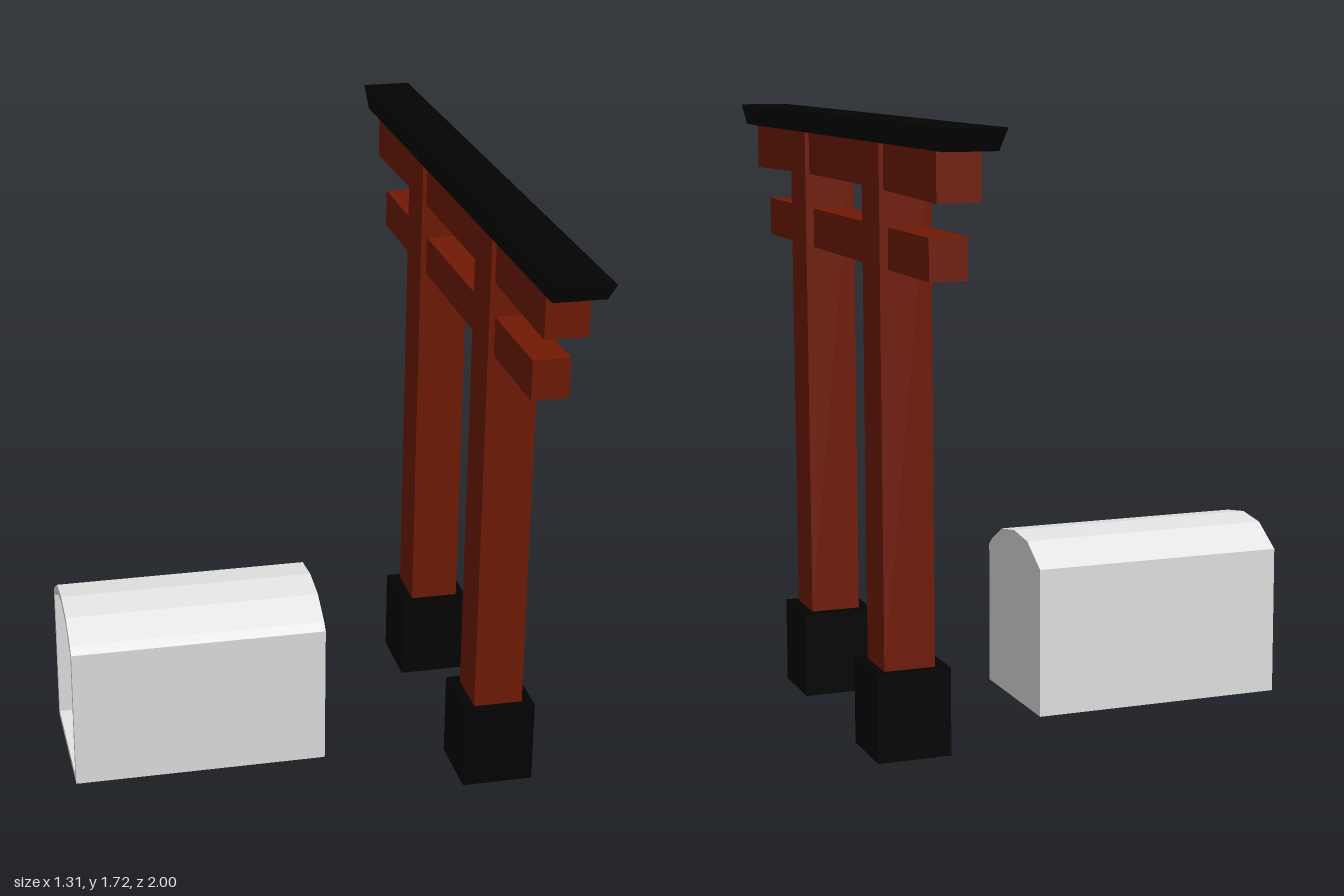
import * as THREE from 'three';

const material = (name, color) => {
  const m = new THREE.MeshStandardMaterial({ color });
  m.name = name;
  return m;
};

export function createModel() {
  const red = material('vermilion wood', 0x721a04);
  const black = material('black lacquer', 0x030303);
  const grey = material('pale grey', 0xe4e4e4);

  const model = new THREE.Group();
  model.name = 'shrineGate';

  const add = (name, geometry, mat, parent) => {
    const mesh = new THREE.Mesh(geometry, mat);
    mesh.name = name;
    parent.add(mesh);
    return mesh;
  };

  // Box given by its limits on each axis
  const box = (name, [x0, x1], [y0, y1], [z0, z1], mat, parent) =>
    add(name, new THREE.BoxGeometry(x1 - x0, y1 - y0, z1 - z0), mat, parent)
      .position.set((x0 + x1) / 2, (y0 + y1) / 2, (z0 + z1) / 2);

  // Outline in (z, y) swept along x from x0 to x1; shape x becomes -z
  const toVectors = (points) => points.map(([z, y]) => new THREE.Vector2(-z, y));
  const sweep = (name, points, [x0, x1], mat, parent, hole) => {
    const shape = new THREE.Shape(toVectors(points));
    // The hole runs the opposite way round so its walls face inwards
    if (hole) shape.holes.push(new THREE.Path(toVectors(hole).reverse()));
    const g = new THREE.ExtrudeGeometry(shape, { depth: x1 - x0, bevelEnabled: false });
    g.rotateY(Math.PI / 2).translate(x0, 0, 0);
    return add(name, g, mat, parent);
  };

  // Gate: two posts on black footings
  const gate = new THREE.Group();
  gate.name = 'gate';
  model.add(gate);
  for (const [side, s, footingX] of [['front', 1, [0.447, 0.655]], ['back', -1, [0.443, 0.651]]]) {
    const span = (a, b) => [Math.min(s * a, s * b), Math.max(s * a, s * b)];
    box(side + 'Footing', footingX, [0, 0.246], span(0.242, 0.451), black, gate);
    box(side + 'Post', [0.48, 0.623], [0.246, 1.657], span(0.275, 0.426), red, gate);
  }

  // Lower tie beam and upper lintel with a slightly raised middle
  box('tieBeam', [0.497, 0.6], [1.327, 1.438], [-0.757, 0.757], red, gate);
  sweep('lintel', [
    [0.85, 1.657], [0.85, 1.528], [0.62, 1.532], [0.3, 1.538],
    [-0.3, 1.538], [-0.62, 1.532], [-0.85, 1.528], [-0.85, 1.657],
  ], [0.493, 0.611], red, gate);

  // Top rail with ends cut at a slant
  sweep('topRail', [[1, 1.716], [0.936, 1.657], [-0.936, 1.657], [-1, 1.716]],
    [0.48, 0.623], black, gate);

  // Arched shelter, open at the far end and closed towards the gate
  const shelter = new THREE.Group();
  shelter.name = 'shelter';
  model.add(shelter);
  const outline = [
    [0.212, 0], [0.212, 0.422], [0.19, 0.442], [0.105, 0.49], [0, 0.506],
    [-0.105, 0.494], [-0.207, 0.432], [-0.207, 0],
  ];
  const t = 0.02;
  const inner = outline.map(([z, y]) => [
    z * (1 - t / 0.21), y === 0 ? t : y - t * (Math.abs(z) > 0.2 ? 0.6 : 1),
  ]);
  sweep('shelterShell', outline, [-0.656, 0.07], grey, shelter, inner);
  sweep('shelterEndWall', outline, [0.07, 0.088], grey, shelter);

  return model;
}
